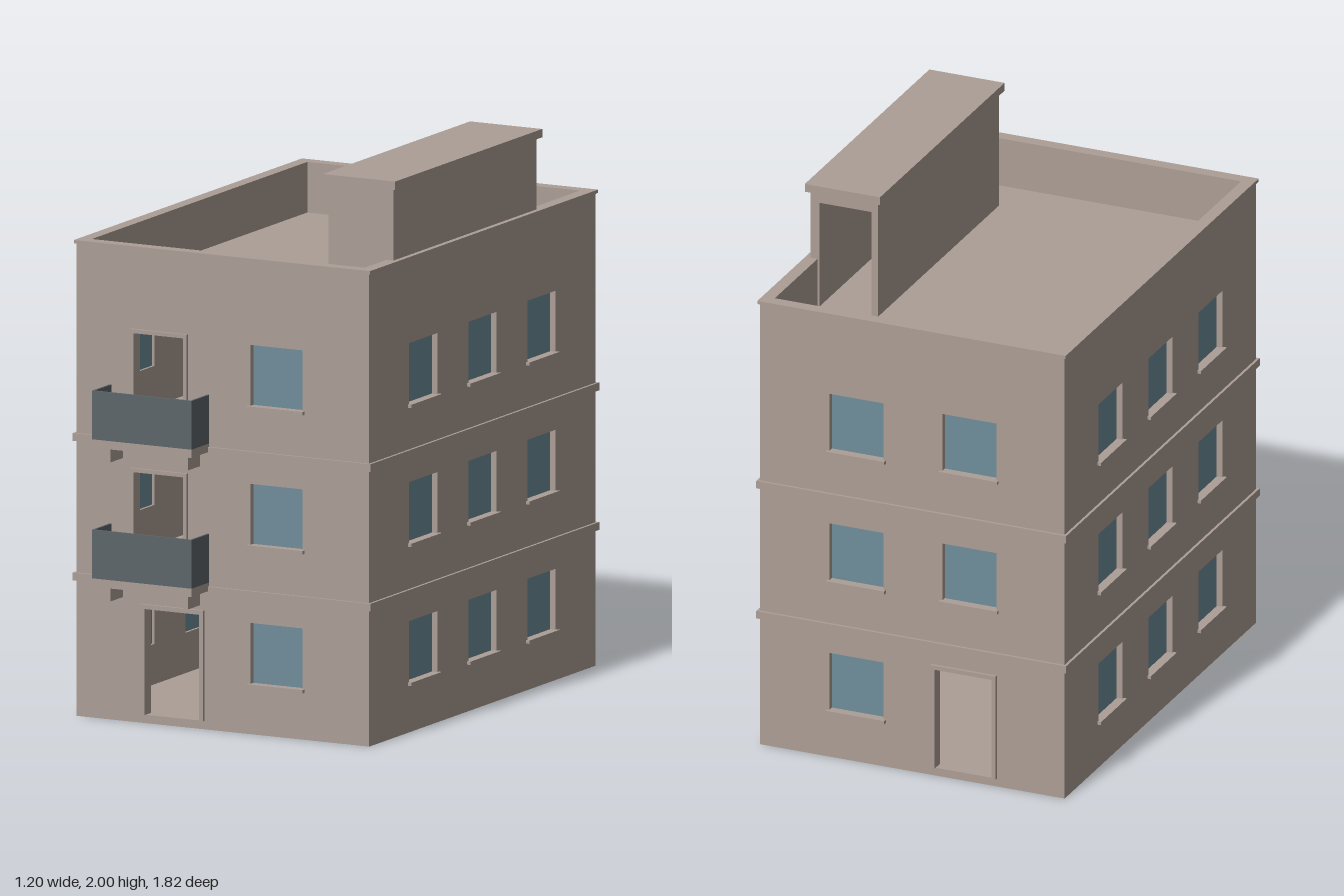
import * as THREE from 'three';

const W = 1.175, D = 1.675, CZ = -0.056; // body footprint and its z centre
const T = 0.04, WALL_H = 1.7;            // wall thickness and height

const plaster = new THREE.MeshStandardMaterial({ name: 'plaster', color: 0xac9e96 });
const glass = new THREE.MeshStandardMaterial({ name: 'glass', color: 0x6f8d9b });
const railing = new THREE.MeshStandardMaterial({ name: 'railing', color: 0x5d666a });

function add(parent, name, geo, mat) {
  const m = new THREE.Mesh(geo, mat);
  m.name = name;
  parent.add(m);
  return m;
}

// Box given by its minimum and maximum corners
function box(parent, name, mat, [x0, y0, z0], [x1, y1, z1]) {
  const m = add(parent, name, new THREE.BoxGeometry(x1 - x0, y1 - y0, z1 - z0), mat);
  m.position.set((x0 + x1) / 2, (y0 + y1) / 2, (z0 + z1) / 2);
  return m;
}

function rect(Type, x0, y0, x1, y1) {
  const s = new Type();
  s.moveTo(x0, y0);
  s.lineTo(x1, y0);
  s.lineTo(x1, y1);
  s.lineTo(x0, y1);
  s.closePath();
  return s;
}

const extrude = (shape, depth) => new THREE.ExtrudeGeometry(shape, { depth, bevelEnabled: false });

// Horizontal rectangular ring round the building
function ring(parent, name, out, inset, y, h) {
  const a = W / 2, b = D / 2;
  const s = rect(THREE.Shape, -a - out, -b - out, a + out, b + out);
  s.holes.push(rect(THREE.Path, -a + inset, -b + inset, a - inset, b - inset));
  const m = add(parent, name, extrude(s, h), plaster);
  m.rotation.x = -Math.PI / 2;
  m.position.set(0, y, CZ);
}

// One wall: local x runs along it, local z = 0 is its outer face.
// windows: [x, floor], doors: { x, y, w, h, frame }
function facade(parent, name, width, windows, doors) {
  const g = new THREE.Group();
  g.name = name;
  const s = rect(THREE.Shape, -width / 2, 0, width / 2, WALL_H);

  for (const [x, floor] of windows) {
    const y = floor * 0.5 + 0.175, hw = 0.104;
    s.holes.push(rect(THREE.Path, x - hw, y, x + hw, y + 0.225));
    box(g, 'windowPane', glass, [x - hw, y, -0.03], [x + hw, y + 0.225, -0.022]);
    box(g, 'windowSill', plaster, [x - 0.113, y - 0.006, -0.021], [x + 0.113, y + 0.006, 0.014]);
  }
  for (const { x, y, w, h, frame } of doors) {
    const r = w / 2, o = r + frame;
    s.holes.push(rect(THREE.Path, x - r, y, x + r, y + h));
    box(g, 'doorJamb', plaster, [x - o, y, -0.004], [x - r, y + h, 0.01]);
    box(g, 'doorJamb', plaster, [x + r, y, -0.004], [x + o, y + h, 0.01]);
    box(g, 'doorLintel', plaster, [x - o, y + h, -0.004], [x + o, y + h + frame, 0.01]);
  }
  const wall = add(g, 'wall', extrude(s, T), plaster);
  wall.position.z = -T;
  parent.add(g);
  return g;
}

// Balcony with slab, brackets and solid railing panels
function balcony(parent, y) {
  const g = new THREE.Group();
  g.name = 'balcony';
  const x0 = -0.455, x1 = -0.055, z0 = CZ + D / 2, z1 = 0.912, t = 0.008;
  box(g, 'balconySlab', plaster, [x0, y, z0], [x1, y + 0.03, z1]);
  for (const x of [-0.41, -0.1])
    box(g, 'bracket', plaster, [x - 0.009, y - 0.055, z0], [x + 0.009, y, 0.872]);
  box(g, 'frontRailing', railing, [x0, y + 0.03, z1 - t], [x1, y + 0.205, z1]);
  box(g, 'sideRailing', railing, [x0, y + 0.03, z0], [x0 + t, y + 0.205, z1 - t]);
  box(g, 'sideRailing', railing, [x1 - t, y + 0.03, z0], [x1, y + 0.205, z1 - t]);
  parent.add(g);
}

// Stair house on the roof, open towards the back
function stairHouse(parent) {
  const g = new THREE.Group();
  g.name = 'stairHouse';
  const x0 = 0.315, x1 = 0.575, z0 = -0.48, z1 = 0.58, y0 = 1.53, y1 = 1.97, t = 0.025;
  box(g, 'innerSideWall', plaster, [x0, y0, z0], [x0 + t, y1, z1]);
  box(g, 'outerSideWall', plaster, [x1 - t - 0.01, y0, z0], [x1, y1, z1]);
  box(g, 'frontWall', plaster, [x0 + t, y0, z1 - t], [x1 - t - 0.01, y1, z1]);
  box(g, 'openingLintel', plaster, [x0 + t, y1 - 0.04, z0], [x1 - t - 0.01, y1, z0 + t]);
  box(g, 'stairHouseRoof', plaster, [x0 - 0.015, y1, z0 - 0.015], [x1 + 0.015, 2, z1 + 0.015]);
  parent.add(g);
}

export function createModel() {
  const model = new THREE.Group();
  model.name = 'apartmentBuilding';

  // Outer walls
  const street = { x: -0.2, y: 0.03, w: 0.22, h: 0.382, frame: 0.016 };
  const balconyDoors = [1, 2].map(f => ({ x: -0.254, y: f * 0.5 + 0.03, w: 0.2, h: 0.37, frame: 0.014 }));
  const front = facade(model, 'frontWall', W, [0, 1, 2].map(f => [0.215, f]), [street, ...balconyDoors]);
  front.position.z = CZ + D / 2;

  const back = facade(model, 'backWall', W,
    [[-0.215, 0], [-0.215, 1], [0.22, 1], [-0.215, 2], [0.22, 2]], [{ ...street, x: 0.2 }]);
  back.rotation.y = Math.PI;
  back.position.z = CZ - D / 2;

  const sideWindows = [];
  for (const f of [0, 1, 2]) for (const x of [-0.4375, 0, 0.4375]) sideWindows.push([x, f]);
  for (const side of [-1, 1]) {
    const wall = facade(model, side > 0 ? 'leftWall' : 'rightWall', D - 2 * T, sideWindows, []);
    wall.rotation.y = side * Math.PI / 2;
    wall.position.set(side * W / 2, 0, CZ);
  }

  // Floors and flat roof
  const ix = W / 2 - T, iz = D / 2 - T;
  ['groundFloor', 'firstFloor', 'secondFloor', 'roof'].forEach((name, i) =>
    box(model, name, plaster, [-ix, i * 0.5, CZ - iz], [ix, i * 0.5 + 0.03, CZ + iz]));

  // String courses and parapet coping
  for (const y of [0.488, 0.99]) ring(model, 'stringCourse', 0.01, 0.002, y, 0.028);
  ring(model, 'parapetCoping', 0.007, T, WALL_H, 0.012);

  for (const y of [0.5, 1.0]) balcony(model, y);
  stairHouse(model);
  return model;
}
